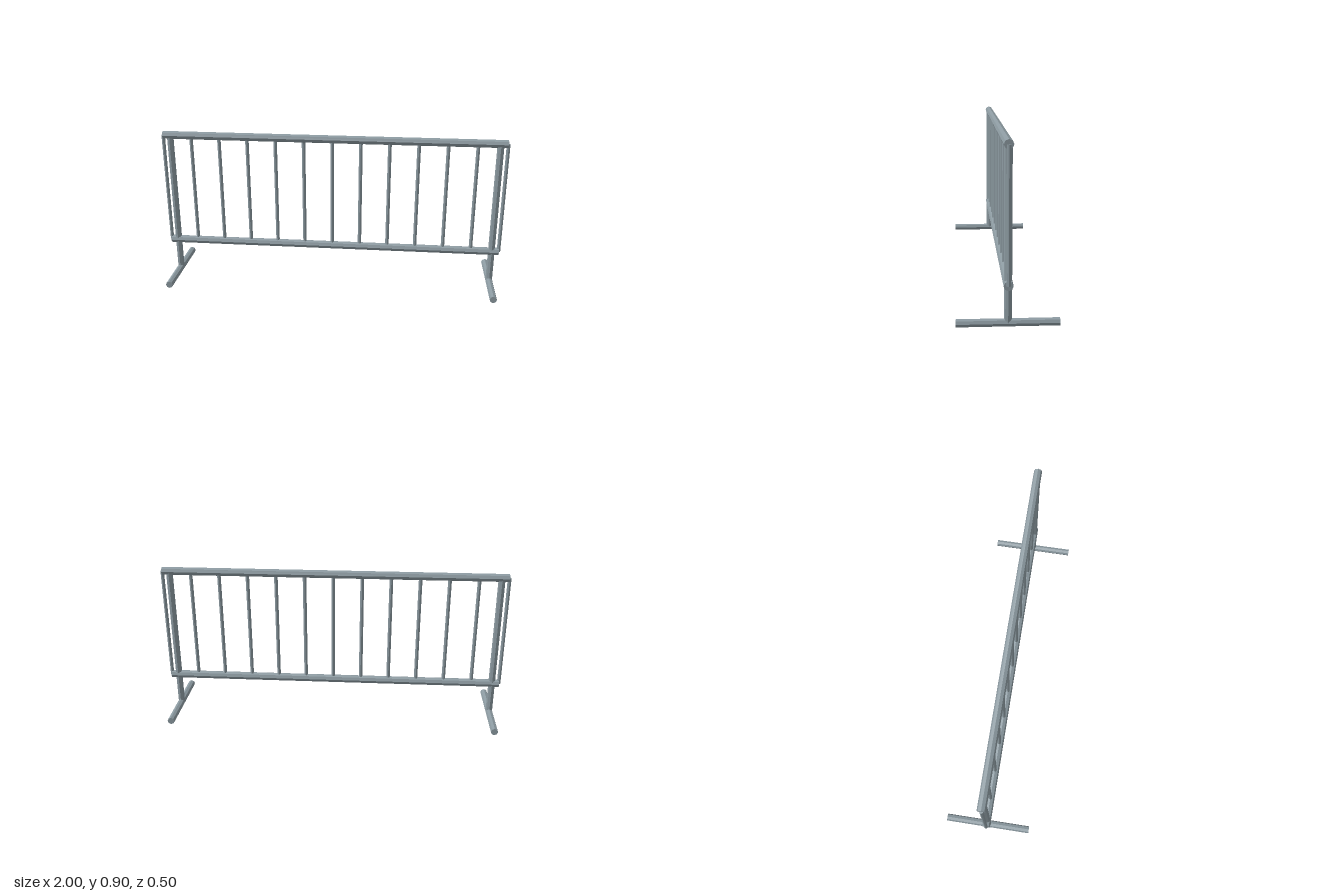
import * as THREE from 'three';

export function createModel() {
  const group = new THREE.Group();
  const steel = new THREE.MeshStandardMaterial({ color: 0x8c9aa1, flatShading: true });
  steel.name = 'galvanised steel';

  // Eight-sided tube along the given axis, centred at (x, y, 0)
  function tube(name, radius, length, axis, x, y) {
    const geometry = new THREE.CylinderGeometry(radius, radius, length, 8);
    if (axis === 'x') geometry.rotateZ(Math.PI / 2);
    if (axis === 'z') geometry.rotateX(Math.PI / 2);
    const mesh = new THREE.Mesh(geometry, steel);
    mesh.name = name;
    mesh.position.set(x, y, 0);
    group.add(mesh);
  }

  const low = 0.212, high = 0.872, footY = 0.0206;

  // Horizontal rails
  tube('topRail', 0.0235, 1.978, 'x', 0, high);
  tube('bottomRail', 0.0235, 1.978, 'x', 0, low);

  // Thin upright bars, the outermost flush with the rail ends
  for (let i = -6; i <= 6; i++) {
    tube('bar', 0.0105, high - low, 'y', i * 0.1649, (high + low) / 2);
  }

  // Posts and their ground feet
  for (const [side, s] of [['left', 1], ['right', -1]]) {
    tube(side + 'Post', 0.0195, high - footY, 'y', s * 0.948, (high + footY) / 2);
    tube(side + 'Foot', 0.0206, 0.495, 'z', s * 0.948, footY);
  }
  return group;
}
